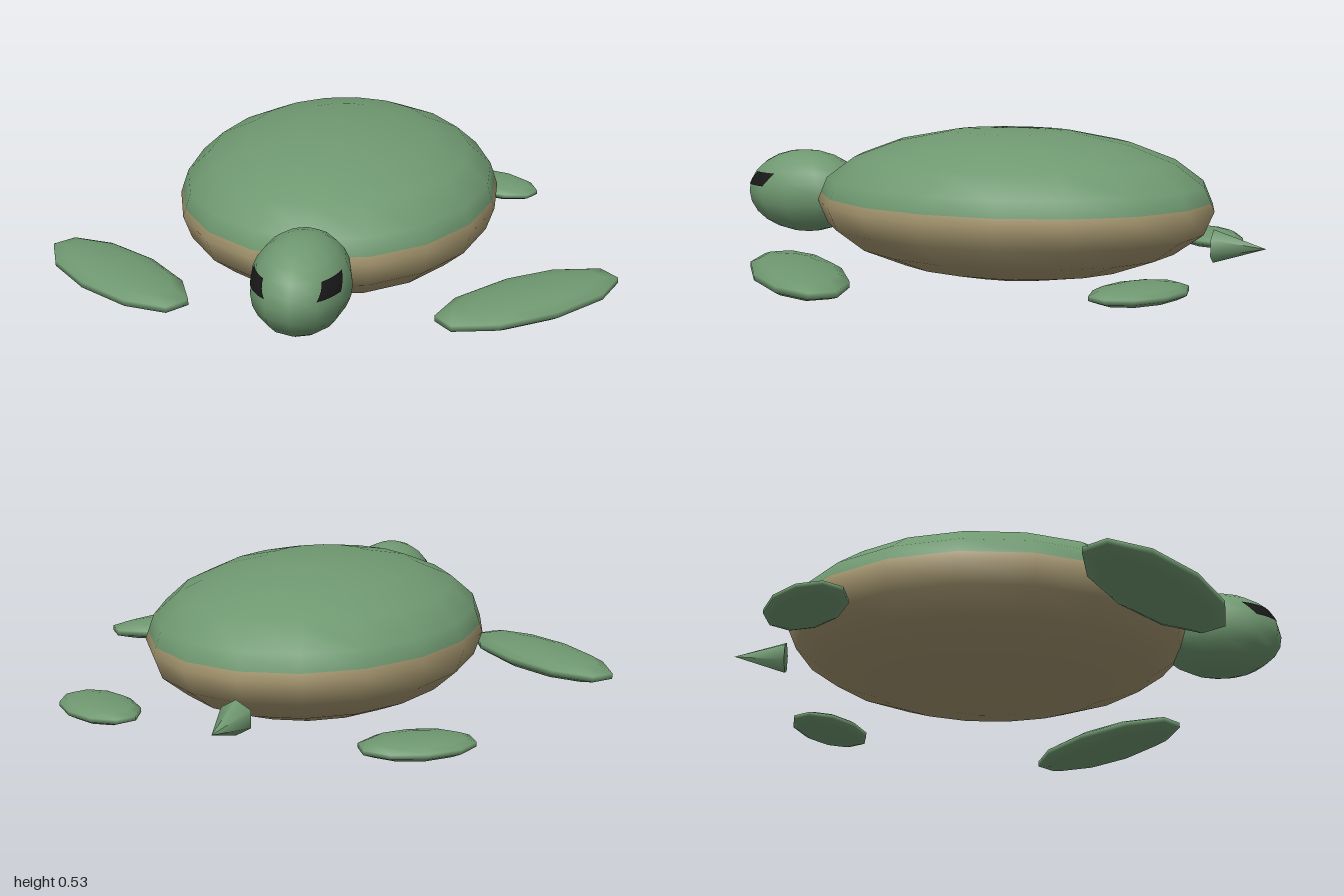
import * as THREE from 'three';

const green = new THREE.MeshStandardMaterial({ name: 'shellGreen', color: 0x6f9870 });
const tan = new THREE.MeshStandardMaterial({ name: 'bellyTan', color: 0xa5966f });
const black = new THREE.MeshStandardMaterial({ name: 'eyeBlack', color: 0x181818 });

const BODY = { radii: [0.574, 0.267, 0.725], centre: [0, 0.27, -0.08] };
const HEAD = { radii: [0.16, 0.155, 0.23], centre: [0, 0.272, 0.75] };
const SEAM_Y = 0.297;

function add(group, name, geometry, material, position) {
  const mesh = new THREE.Mesh(geometry, material);
  mesh.name = name;
  mesh.position.set(...position);
  group.add(mesh);
  return mesh;
}

// Slice of a unit sphere from a profile, with true sphere normals, stretched to the body
function bodySlice(points) {
  const geometry = new THREE.LatheGeometry(points, 18);
  const p = geometry.attributes.position;
  const v = new THREE.Vector3();
  for (let i = 0; i < p.count; i++) {
    v.fromBufferAttribute(p, i).normalize();
    geometry.attributes.normal.setXYZ(i, v.x, v.y, v.z);
  }
  return geometry.scale(...BODY.radii);
}

// Eye patch: a grid laid over the curved side of the head
function eyePatch(side) {
  const geometry = new THREE.PlaneGeometry(1, 1, 8, 4);
  const p = geometry.attributes.position;
  const [rx, ry, rz] = HEAD.radii;
  const lerp = THREE.MathUtils.lerp;
  for (let i = 0; i < p.count; i++) {
    const u = 0.5 - side * p.getX(i); // 0 at the rear edge, 1 at the front edge
    const t = p.getY(i) + 0.5;
    const y = lerp(0.298, 0.347, t) - HEAD.centre[1];
    const z = lerp(lerp(0.86, 0.947, u), lerp(0.811, 0.907, u), t) - HEAD.centre[2];
    const x = side * rx * Math.sqrt(1 - (y / ry) ** 2 - (z / rz) ** 2);
    p.setXYZ(i, x * 1.008, y * 1.008, z * 1.008);
  }
  geometry.computeVertexNormals();
  return geometry;
}

export function createModel() {
  const model = new THREE.Group();
  model.name = 'turtle';

  // Body profile in ten steps, split at the colour seam
  const rings = [];
  for (let i = 0; i <= 10; i++) {
    const a = -Math.PI / 2 + (i * Math.PI) / 10;
    rings.push(new THREE.Vector2(Math.max(0, Math.cos(a)), Math.sin(a)));
  }
  const seamY = (SEAM_Y - BODY.centre[1]) / BODY.radii[1];
  const seam = rings[5].clone().lerp(rings[6], (seamY - rings[5].y) / (rings[6].y - rings[5].y));
  add(model, 'belly', bodySlice([...rings.slice(0, 6), seam]), tan, BODY.centre);
  add(model, 'shell', bodySlice([seam, ...rings.slice(6)]), green, BODY.centre);

  // Head and eyes
  add(model, 'head', new THREE.SphereGeometry(1, 12, 12).scale(...HEAD.radii), green, HEAD.centre);

  for (const side of [1, -1]) {
    const label = side > 0 ? 'left' : 'right';
    add(model, label + 'Eye', eyePatch(side), black, HEAD.centre);

    // Flippers: flattened ellipsoids swung outward
    const front = add(model, label + 'FrontFlipper',
      new THREE.SphereGeometry(1, 10, 7).scale(0.148, 0.045, 0.377), green, [side * 0.7, 0.103, 0.415]);
    front.rotation.y = -side * THREE.MathUtils.degToRad(50);

    const rear = add(model, label + 'RearFlipper',
      new THREE.SphereGeometry(1, 10, 7).scale(0.118, 0.033, 0.192), green, [side * 0.547, 0.09, -0.682]);
    rear.rotation.y = side * THREE.MathUtils.degToRad(57);
  }

  // Pointed tail
  add(model, 'tail', new THREE.ConeGeometry(0.058, 0.18, 6).rotateX(-Math.PI / 2), green, [0, 0.152, -0.893]);

  return model;
}
